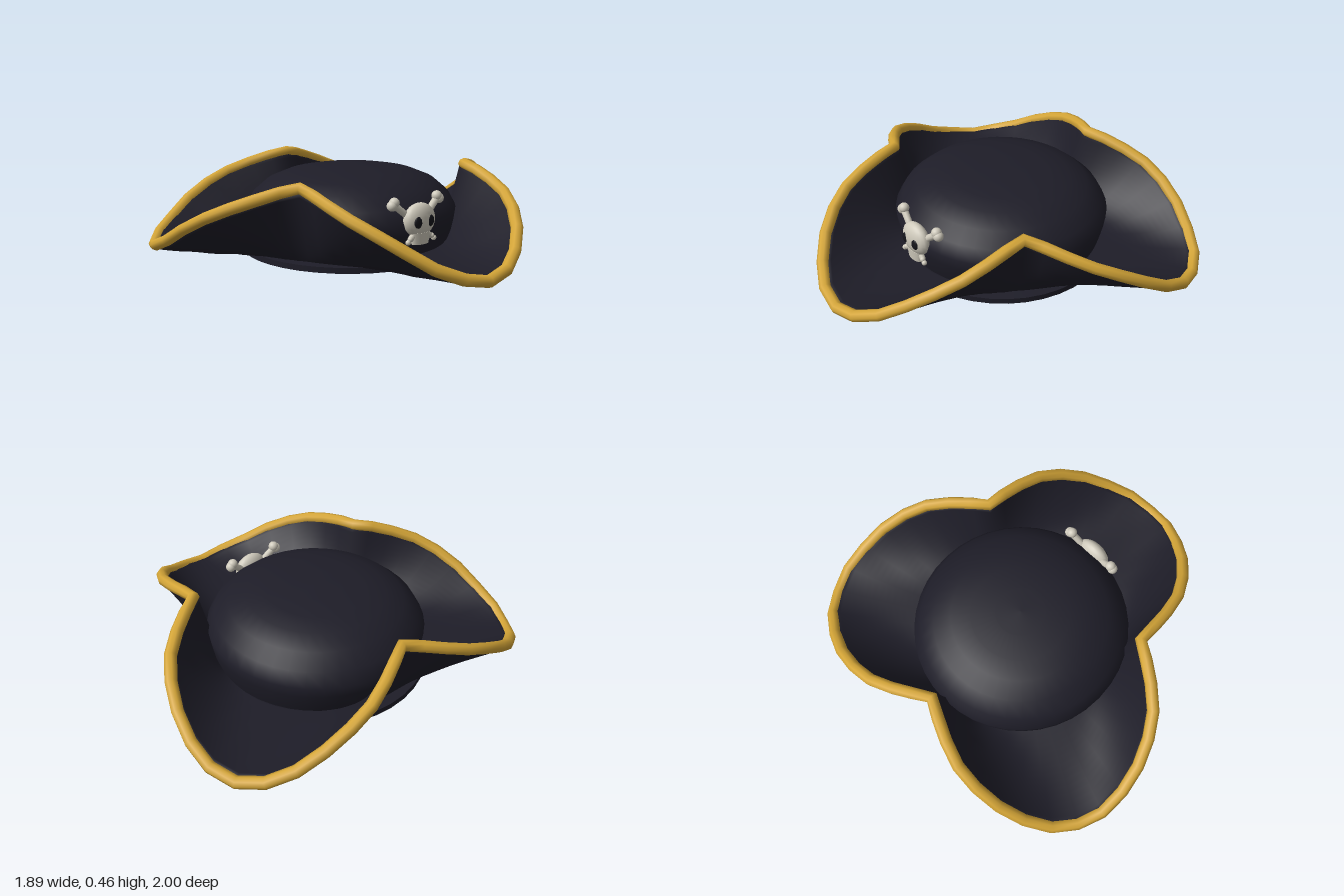
import * as THREE from 'three';

const felt = new THREE.MeshStandardMaterial({ color: 0x1e1d28, side: THREE.DoubleSide });
felt.name = 'dark felt';
const gold = new THREE.MeshStandardMaterial({ color: 0xd4a537 });
gold.name = 'gold trim';
const bone = new THREE.MeshStandardMaterial({ color: 0xcfcabc });
bone.name = 'bone';
const black = new THREE.MeshStandardMaterial({ color: 0x15151b });
black.name = 'eye black';

// Rim radius and height every 7.5 degrees, from a lobe tip to a raised fold
const RADII = [1.055, 1.045, 1.005, 0.955, 0.895, 0.83, 0.75, 0.68, 0.627];
const HEIGHTS = [0.036, 0.065, 0.12, 0.2, 0.27, 0.325, 0.37, 0.405, 0.425];
const STEPS = 48;
const CENTRE = -0.14;
const HALF_THICKNESS = 0.022;

function rimAt(i) {
  const k = ((i % 16) + 16) % 16;
  const n = k > 8 ? 16 - k : k;
  return { angle: (i / STEPS) * Math.PI * 2, r: RADII[n], y: HEIGHTS[n] };
}

function polar(angle, r, y) {
  return new THREE.Vector3(CENTRE + Math.cos(angle) * r, y, Math.sin(angle) * r);
}

// Skin a ring of closed cross-sections
function loft(sections) {
  const m = sections[0].length;
  const count = sections.length;
  const index = [];
  for (let i = 0; i < count; i++) {
    for (let j = 0; j < m; j++) {
      const i2 = (i + 1) % count, j2 = (j + 1) % m;
      const a = i * m + j, b = i * m + j2, c = i2 * m + j2, d = i2 * m + j;
      index.push(a, b, d, b, c, d);
    }
  }
  const geometry = new THREE.BufferGeometry().setFromPoints(sections.flat());
  geometry.setIndex(index);
  geometry.computeVertexNormals();
  return geometry;
}

function add(parent, name, geometry, material, x = 0, y = 0, z = 0) {
  const mesh = new THREE.Mesh(geometry, material);
  mesh.name = name;
  mesh.position.set(x, y, z);
  parent.add(mesh);
  return mesh;
}

// Thick felt: steep walls at the folds, shallow bowls at the lobes
function brimGeometry() {
  const sections = [];
  for (let i = 0; i < STEPS; i++) {
    const { angle, r, y } = rimAt(i);
    const power = 1.35 + 3 * Math.pow(1 - y / 0.425, 3);
    const under = [], over = [];
    for (let j = 0; j <= 14; j++) {
      const t = j / 14;
      const pr = 0.5 + (r - 0.5) * t;
      const py = 0.024 + (y - 0.024) * Math.pow(t, power);
      const slope = Math.atan2((y - 0.024) * power * Math.pow(t, power - 1), r - 0.5);
      const dr = Math.sin(slope) * HALF_THICKNESS, dy = Math.cos(slope) * HALF_THICKNESS;
      under.push(polar(angle, pr + dr, Math.max(0.001, py - dy)));
      over.unshift(polar(angle, pr - dr, py + dy));
    }
    sections.push([...under, ...over]);
  }
  return loft(sections);
}

function trimGeometry() {
  const point = (i) => {
    const { angle, r, y } = rimAt(i);
    return polar(angle, r, y);
  };
  const sections = [];
  for (let i = 0; i < STEPS; i++) {
    const p = point(i);
    const tangent = point(i + 1).sub(point(i - 1)).normalize();
    const { angle } = rimAt(i);
    const out = new THREE.Vector3(Math.cos(angle), 0, Math.sin(angle));
    out.addScaledVector(tangent, -out.dot(tangent)).normalize();
    const side = new THREE.Vector3().crossVectors(tangent, out);
    const section = [];
    for (let j = 0; j < 8; j++) {
      const a = (j / 8) * Math.PI * 2;
      section.push(p.clone().addScaledVector(out, 0.032 * Math.cos(a)).addScaledVector(side, 0.031 * Math.sin(a)));
    }
    sections.push(section);
  }
  return loft(sections);
}

function lathe(points, segments) {
  return new THREE.LatheGeometry(points.map(([x, y]) => new THREE.Vector2(x, y)), segments);
}

// Skull with crossed bones, facing +x
function createEmblem() {
  const emblem = new THREE.Group();
  emblem.name = 'skullEmblem';
  const ball = new THREE.SphereGeometry(1, 20, 14);

  add(emblem, 'cranium', ball, bone, 0.422, 0.237, 0).scale.set(0.05, 0.088, 0.098);
  add(emblem, 'jaw', new THREE.CylinderGeometry(0.062, 0.052, 0.06, 16), bone, 0.43, 0.147, 0).scale.x = 0.5;

  for (const s of [-1, 1]) {
    const eye = add(emblem, 'eye', ball, black, 0.461, 0.235, s * 0.037);
    eye.scale.set(0.011, 0.031, 0.027);

    const top = new THREE.Vector3(0.395, 0.325, s * 0.14);
    const bottom = new THREE.Vector3(0.435, 0.145, -s * 0.07);
    const along = top.clone().sub(bottom);
    const shaft = add(emblem, 'bone', new THREE.CylinderGeometry(0.019, 0.015, along.length(), 10), bone);
    shaft.position.copy(top).add(bottom).multiplyScalar(0.5);
    shaft.quaternion.setFromUnitVectors(new THREE.Vector3(0, 1, 0), along.normalize());

    // Knobs at the bone ends
    for (const k of [-1, 1]) {
      add(emblem, 'boneKnob', ball, bone, 0.395, 0.33 + k * 0.007, s * (0.147 - k * 0.007)).scale.setScalar(0.027);
      add(emblem, 'boneTip', ball, bone, 0.438, 0.142 + k * 0.007, -s * (0.078 - k * 0.007)).scale.setScalar(0.014);
    }
  }
  return emblem;
}

export function createModel() {
  const hat = new THREE.Group();
  hat.name = 'tricornHat';

  add(hat, 'brim', brimGeometry(), felt);
  add(hat, 'brimTrim', trimGeometry(), gold);

  // Domed crown
  add(hat, 'crown', lathe([
    [0.52, 0.02], [0.545, 0.09], [0.56, 0.16], [0.568, 0.22], [0.53, 0.29],
    [0.455, 0.355], [0.36, 0.395], [0.26, 0.415], [0.13, 0.427], [0, 0.43],
  ], 40), felt, CENTRE);

  // Head band and closed underside
  add(hat, 'headBand', lathe([
    [0.5, 0.03], [0.5, 0], [0.5, 0], [0.59, 0], [0.59, 0], [0.59, 0.03], [0.59, 0.03], [0.5, 0.035],
  ], 40), felt, CENTRE);
  const lining = add(hat, 'lining', new THREE.CircleGeometry(0.505, 40), felt, CENTRE, 0.015);
  lining.rotation.x = Math.PI / 2;

  hat.add(createEmblem());
  return hat;
}
